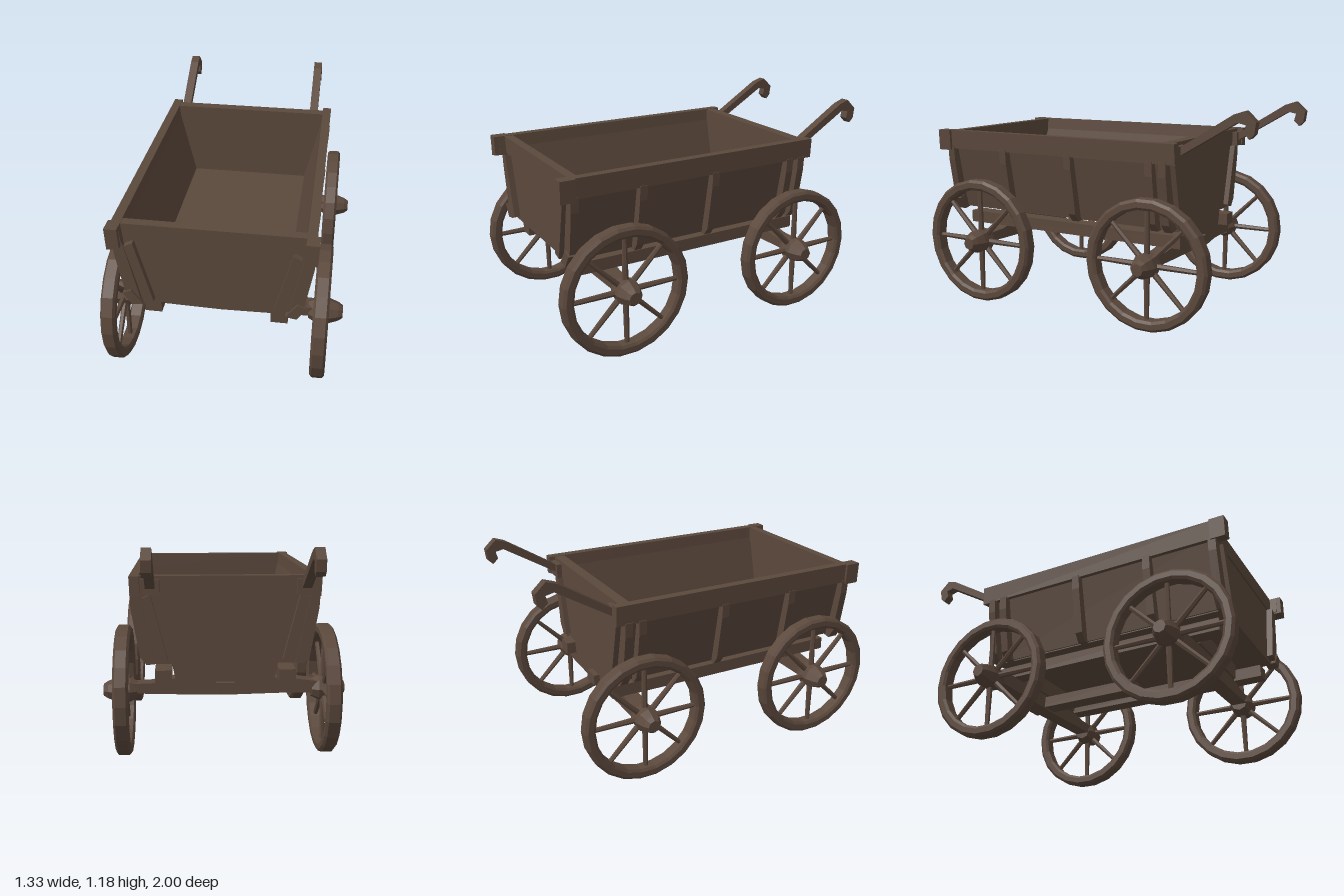
import * as THREE from 'three';

export function createModel() {
  const wood = new THREE.MeshStandardMaterial({ color: 0x5b483c });
  wood.name = 'dark wood';
  wood.flatShading = true;
  const cart = new THREE.Group();
  cart.name = 'handcart';

  const add = (name, geometry, parent = cart) => {
    const mesh = new THREE.Mesh(geometry, wood);
    mesh.name = name;
    parent.add(mesh);
    return mesh;
  };
  const box = (name, x0, x1, y0, y1, z0, z1) =>
    add(name, new THREE.BoxGeometry(x1 - x0, y1 - y0, z1 - z0)
      .translate((x0 + x1) / 2, (y0 + y1) / 2, (z0 + z1) / 2));
  // outline in x/y, extruded from z0 to z1; s mirrors across x
  const slab = (name, pts, z0, z1, s = 1) => {
    const shape = new THREE.Shape(pts.map(([x, y]) => new THREE.Vector2(x * s, y)));
    return add(name, new THREE.ExtrudeGeometry(shape, { depth: z1 - z0, bevelEnabled: false })
      .translate(0, 0, z0));
  };

  // Cargo box: floor, end boards, sloping sides
  box('floor', -0.39, 0.39, 0.54, 0.565, -0.53, 0.88);
  const endBoard = [[-0.38, 0.54], [0.38, 0.54], [0.475, 1.01], [-0.475, 1.01]];
  slab('frontBoard', endBoard, 0.855, 0.89);
  slab('backBoard', endBoard, -0.545, -0.505);
  box('frontTopRail', -0.47, 0.47, 0.92, 1.018, 0.85, 0.9);
  box('backTopRail', -0.47, 0.47, 0.92, 1.018, -0.565, -0.505);

  for (const s of [1, -1]) {
    slab('sideBoard', [[0.36, 0.55], [0.4, 0.545], [0.48, 0.95], [0.46, 0.98]], -0.545, 0.88, s);
    slab('sideTopRail', [[0.45, 0.92], [0.505, 0.91], [0.51, 1.02], [0.46, 1.02]], -0.6, 0.94, s);
    slab('railEnd', [[0.455, 0.91], [0.52, 0.9], [0.525, 1.02], [0.46, 1.02]], 0.88, 0.965, s);

    // Upright ribs along the side
    const rib = [[0.38, 0.54], [0.425, 0.535], [0.46, 0.58], [0.505, 0.84], [0.51, 0.92], [0.46, 0.92]];
    for (const z of [0.885, 0.5, 0.055, -0.45, -0.53])
      slab('sideRib', rib, z - 0.022, z + 0.022, s);
    slab('cornerFoot', [[0.37, 0.54], [0.43, 0.53], [0.475, 0.6], [0.43, 0.62]], 0.86, 0.92, s);

    // Slanted battens on the end boards
    const batten = [[0.31, 0.565], [0.36, 0.55], [0.445, 0.9], [0.4, 0.92]];
    slab('frontBatten', batten, 0.88, 0.925, s);
    slab('backBatten', batten, -0.575, -0.54, s);

    // Chassis rail
    box('chassisRail', s * 0.335 - 0.045, s * 0.335 + 0.045, 0.44, 0.51, -0.58, 0.85);

    // Push handle with hooked grip, outline in z/y
    const grip = [[-0.54, 0.93], [-0.6, 0.955], [-0.9, 1.135], [-0.945, 1.125], [-0.935, 1.085],
      [-0.965, 1.055], [-0.99, 1.08], [-0.998, 1.14], [-0.94, 1.195], [-0.88, 1.175], [-0.6, 1.0], [-0.54, 0.985]];
    const x = s > 0 ? 0.4 : -0.43;
    add('pushHandle', new THREE.ExtrudeGeometry(
      new THREE.Shape(grip.map((p) => new THREE.Vector2(...p))), { depth: 0.05, bevelEnabled: false })
      .rotateY(-Math.PI / 2).translate(x + 0.025, 0, 0));
    box('handleBracket', x - 0.05, x + 0.05, 0.92, 1.0, -0.595, -0.55);
  }

  // Reach beam under the rear half
  box('reachBeam', -0.05, 0.05, 0.365, 0.43, -0.55, 0.18);

  // Axles, bolsters and wheels
  const rimProfile = [[0.305, -0.03], [0.32, -0.04], [0.35, -0.04], [0.365, -0.028], [0.365, 0.028],
    [0.35, 0.04], [0.32, 0.04], [0.305, 0.03], [0.305, -0.03]].map((p) => new THREE.Vector2(...p));
  const hubProfile = [[0, -0.07], [0.05, -0.07], [0.07, -0.03], [0.07, 0.04], [0.052, 0.09], [0.035, 0.115], [0, 0.115]]
    .map((p) => new THREE.Vector2(...p));

  for (const [z, radius] of [[0.64, 0.365], [-0.47, 0.358]]) {
    slab('axle', [[-0.55, 0.36], [-0.3, 0.362], [0, 0.355], [0.3, 0.362], [0.55, 0.37], [0.55, 0.42],
      [0.4, 0.425], [0.28, 0.45], [-0.28, 0.45], [-0.4, 0.44], [-0.55, 0.42]], z - 0.045, z + 0.045);
    slab('bolster', [[-0.27, 0.445], [0.27, 0.445], [0.29, 0.545], [-0.29, 0.545]], z - 0.06, z + 0.06);

    for (const s of [1, -1]) {
      const wheel = new THREE.Group();
      wheel.name = 'wheel';
      wheel.position.set(s * 0.55, 0.38, z);
      wheel.rotation.z = -s * Math.PI / 2;
      wheel.scale.set(radius / 0.365, 1, radius / 0.365);
      cart.add(wheel);
      add('rim', new THREE.LatheGeometry(rimProfile, 22), wheel);
      add('hub', new THREE.LatheGeometry(hubProfile, 8), wheel);
      for (let i = 0; i < 8; i++)
        add('spoke', new THREE.CylinderGeometry(0.013, 0.017, 0.27, 6)
          .translate(0, 0.185, 0).rotateX(Math.PI / 2).rotateY(i * Math.PI / 4), wheel);
    }
  }
  return cart;
}
